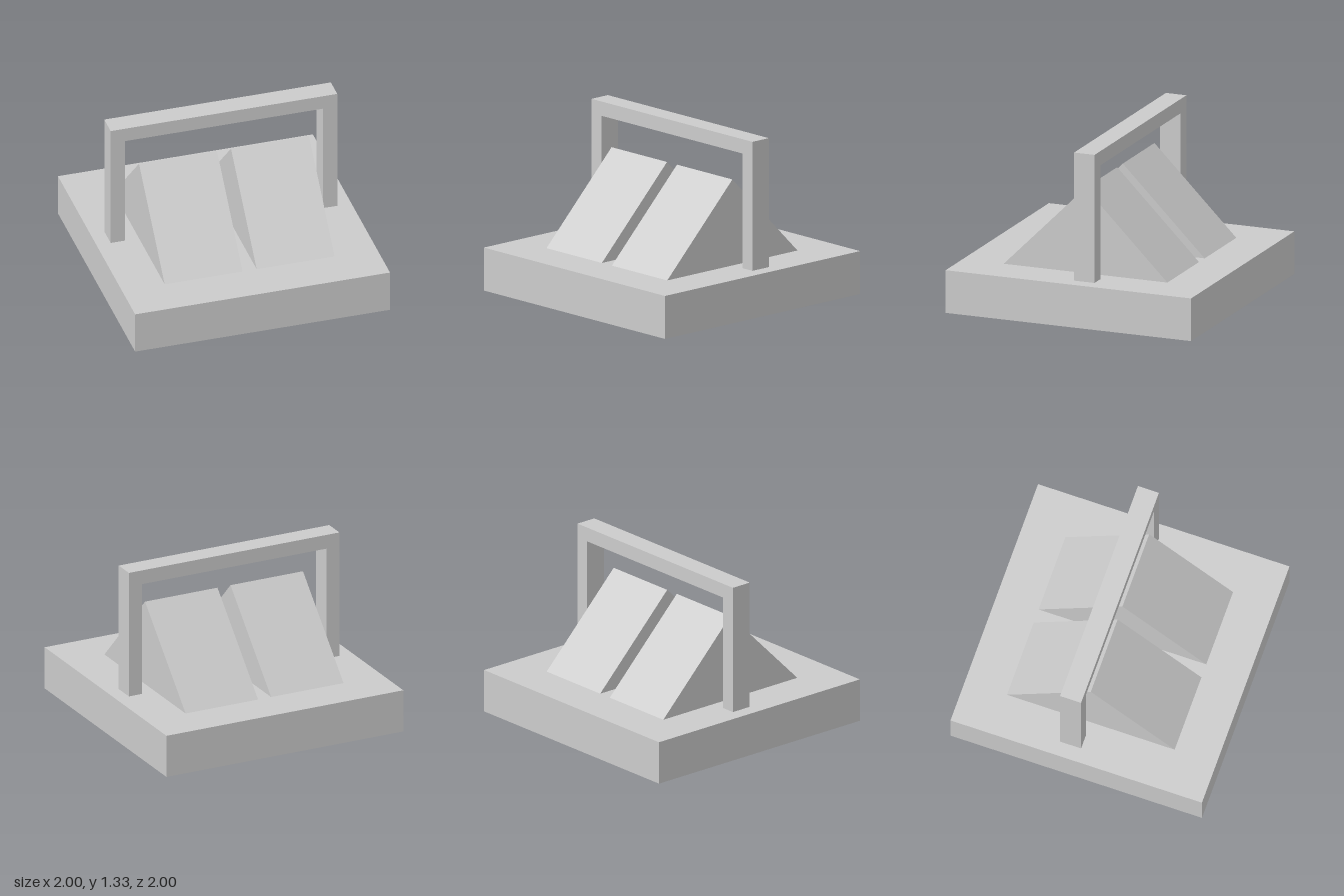
import * as THREE from 'three';

const material = new THREE.MeshStandardMaterial({ color: 0xcccccc, flatShading: true });

const BASE_H = 0.333;  // height of the base
const INNER = 0.667;   // half width of the hollow and of the wedges
const GAP = 0.055;     // half width of the ribs and of the gap between wedges

function polygon(points) {
  return new THREE.Shape(points.map(([x, y]) => new THREE.Vector2(x, y)));
}

function square(h) {
  return polygon([[-h, -h], [h, -h], [h, h], [-h, h]]);
}

function extrude(shape, depth) {
  return new THREE.ExtrudeGeometry(shape, { depth, bevelEnabled: false });
}

export function createModel() {
  const model = new THREE.Group();
  model.name = 'wedgeBlockWithHandle';

  function add(name, geometry, x = 0, y = 0, z = 0, parent = model) {
    const mesh = new THREE.Mesh(geometry, material);
    mesh.name = name;
    mesh.position.set(x, y, z);
    parent.add(mesh);
    return mesh;
  }

  // Base: square frame, hollow from below and closed by a thin deck
  const base = new THREE.Group();
  base.name = 'base';
  model.add(base);
  const frame = square(1);
  frame.holes.push(square(INNER));
  add('baseFrame', extrude(frame, BASE_H).rotateX(-Math.PI / 2), 0, 0, 0, base);
  const deck = 0.006;
  add('deck', new THREE.BoxGeometry(2 * INNER, deck, 2 * INNER), 0, BASE_H - deck / 2, 0, base);

  // Underside ribs: a cross of half height that makes four pockets
  const ribTop = BASE_H - deck, ribBottom = BASE_H / 2;
  const rib = polygon([
    [-INNER, -GAP], [-GAP, -GAP], [-GAP, -INNER], [GAP, -INNER], [GAP, -GAP], [INNER, -GAP],
    [INNER, GAP], [GAP, GAP], [GAP, INNER], [-GAP, INNER], [-GAP, GAP], [-INNER, GAP],
  ]);
  add('crossRib', extrude(rib, ribTop - ribBottom).rotateX(-Math.PI / 2), 0, ribBottom, 0, base);

  // Two triangular wedges side by side
  const width = INNER - GAP;
  const triangle = polygon([[-INNER, 0], [INNER, 0], [0, INNER]]);
  const wedge = extrude(triangle, width).translate(0, 0, -width / 2).rotateY(Math.PI / 2);
  for (const side of [-1, 1]) {
    add(side > 0 ? 'leftWedge' : 'rightWedge', wedge, side * (GAP + width / 2), BASE_H, 0);
  }

  // Handle: square arch standing just behind the ridge
  const out = 0.889, inn = 0.778, top = 1, bar = 0.889;
  const arch = polygon([
    [-out, 0], [-inn, 0], [-inn, bar], [inn, bar], [inn, 0], [out, 0], [out, top], [-out, top],
  ]);
  add('handle', extrude(arch, 0.167), 0, BASE_H, -0.167);

  return model;
}
